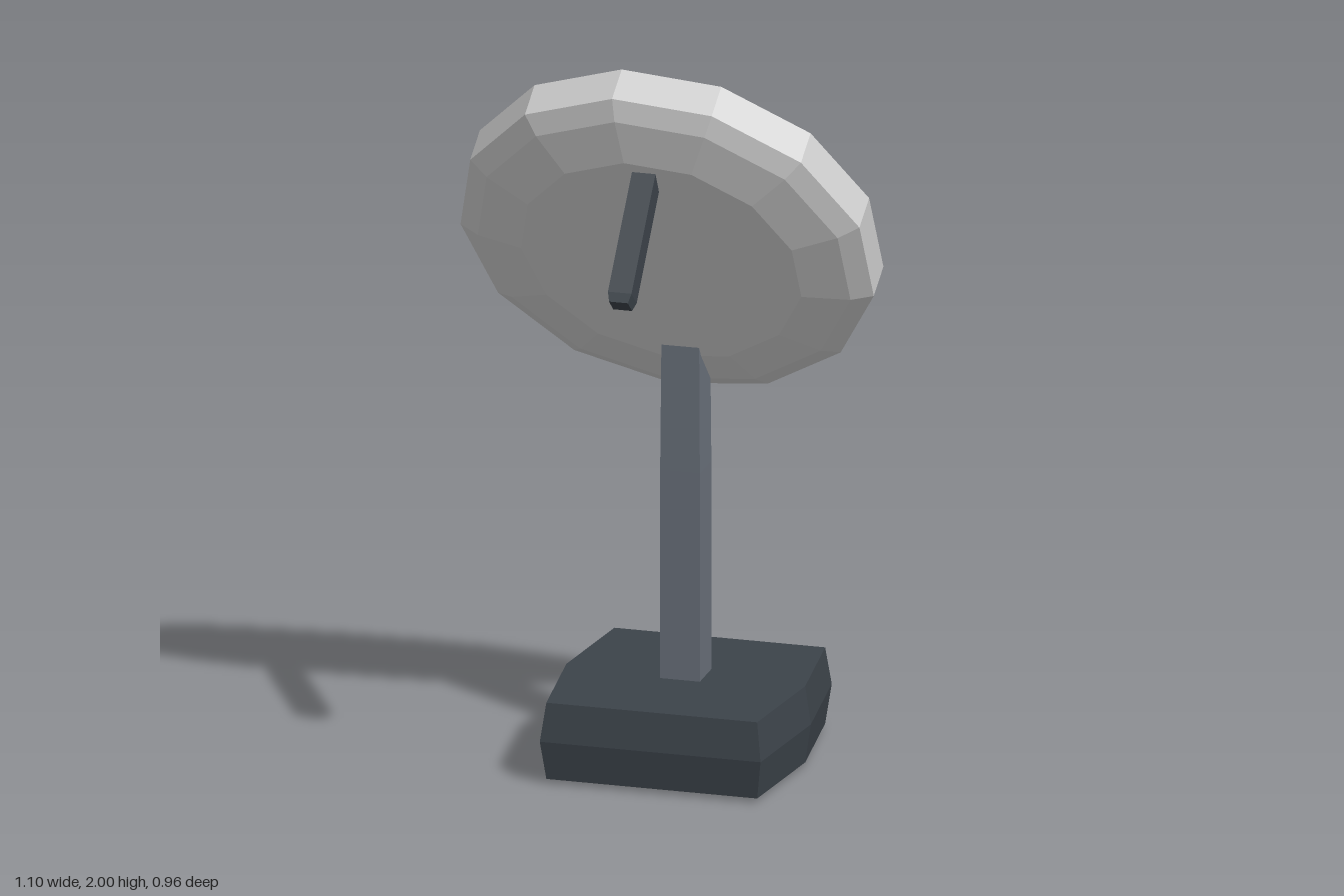
import * as THREE from 'three';

const mat = (name, color, flat = true) => {
  const m = new THREE.MeshStandardMaterial({ color, flatShading: flat });
  m.name = name;
  return m;
};

// Closed solid lofted through rings [y, scale, ...] of one plan outline,
// with slightly domed caps. Outline runs counter-clockwise seen from above.
function loft(outline, rings, bottomY, topY) {
  const n = outline.length;
  const pos = [];
  const index = [];
  for (const [y, s] of rings) for (const [x, z] of outline) pos.push(x * s, y, z * s);
  for (let r = 0; r < rings.length - 1; r++) {
    for (let i = 0; i < n; i++) {
      const a = r * n + i, b = r * n + (i + 1) % n;
      index.push(a, b, b + n, a, b + n, a + n);
    }
  }
  const top = (rings.length - 1) * n;
  const cb = pos.length / 3;
  pos.push(0, bottomY, 0, 0, topY, 0);
  for (let i = 0; i < n; i++) {
    const j = (i + 1) % n;
    index.push(cb, j, i, cb + 1, top + i, top + j);
  }
  const g = new THREE.BufferGeometry();
  g.setAttribute('position', new THREE.Float32BufferAttribute(pos, 3));
  g.setIndex(index);
  g.computeVertexNormals();
  return g;
}

const square = (h) => [[h, h], [h, -h], [-h, -h], [-h, h]];

export function createModel() {
  const model = new THREE.Group();
  model.name = 'dishOnStand';
  const dark = mat('darkSlate', 0x3c434a);
  const steel = mat('steelGrey', 0x686f79);
  const pale = mat('paleGrey', 0xcfcfcf);

  const add = (name, geometry, material) => {
    const mesh = new THREE.Mesh(geometry, material);
    mesh.name = name;
    model.add(mesh);
    return mesh;
  };

  // Foot block: six-sided plan, bulging at mid height
  const plan = [[0.3, 0.333], [0.34, 0], [0.3, -0.333], [-0.3, -0.333], [-0.34, 0], [-0.3, 0.333]];
  const base = add('base', loft(plan, [[0.012, 0.955], [0.118, 1], [0.222, 0.955]], 0, 0.227), dark);
  base.position.set(0.005, 0, -0.142);

  // Square pole
  const pole = add('pole', loft(square(0.054), [[0.1, 1], [0.8, 1], [1.22, 0.94]], 0.1, 1.22), steel);
  pole.position.set(0.005, 0, -0.142);

  // Thirteen-sided lens-shaped dish, tilted back
  const profile = [
    [0, -0.123], [0.38, -0.115], [0.505, -0.084], [0.56, -0.052],
    [0.56, 0.052], [0.505, 0.084], [0.38, 0.115], [0, 0.123],
  ].map(([r, y]) => new THREE.Vector2(r, y));
  const dish = add('dish', new THREE.LatheGeometry(profile, 13, -Math.PI / 2), pale);
  dish.position.set(0, 1.49, -0.025);
  dish.rotation.x = -Math.PI / 3;

  // Feed arm reaching forward and down from the dish face
  const arm = add('feedArm', loft(square(0.032), [[0, 0.8], [0.02, 1], [0.4, 1], [0.425, 0.8]], 0, 0.425), dark);
  const start = new THREE.Vector3(0.004, 1.755, 0.185);
  const end = new THREE.Vector3(0.004, 1.438, 0.462);
  arm.position.copy(start);
  arm.quaternion.setFromUnitVectors(new THREE.Vector3(0, 1, 0), end.sub(start).normalize());

  return model;
}
